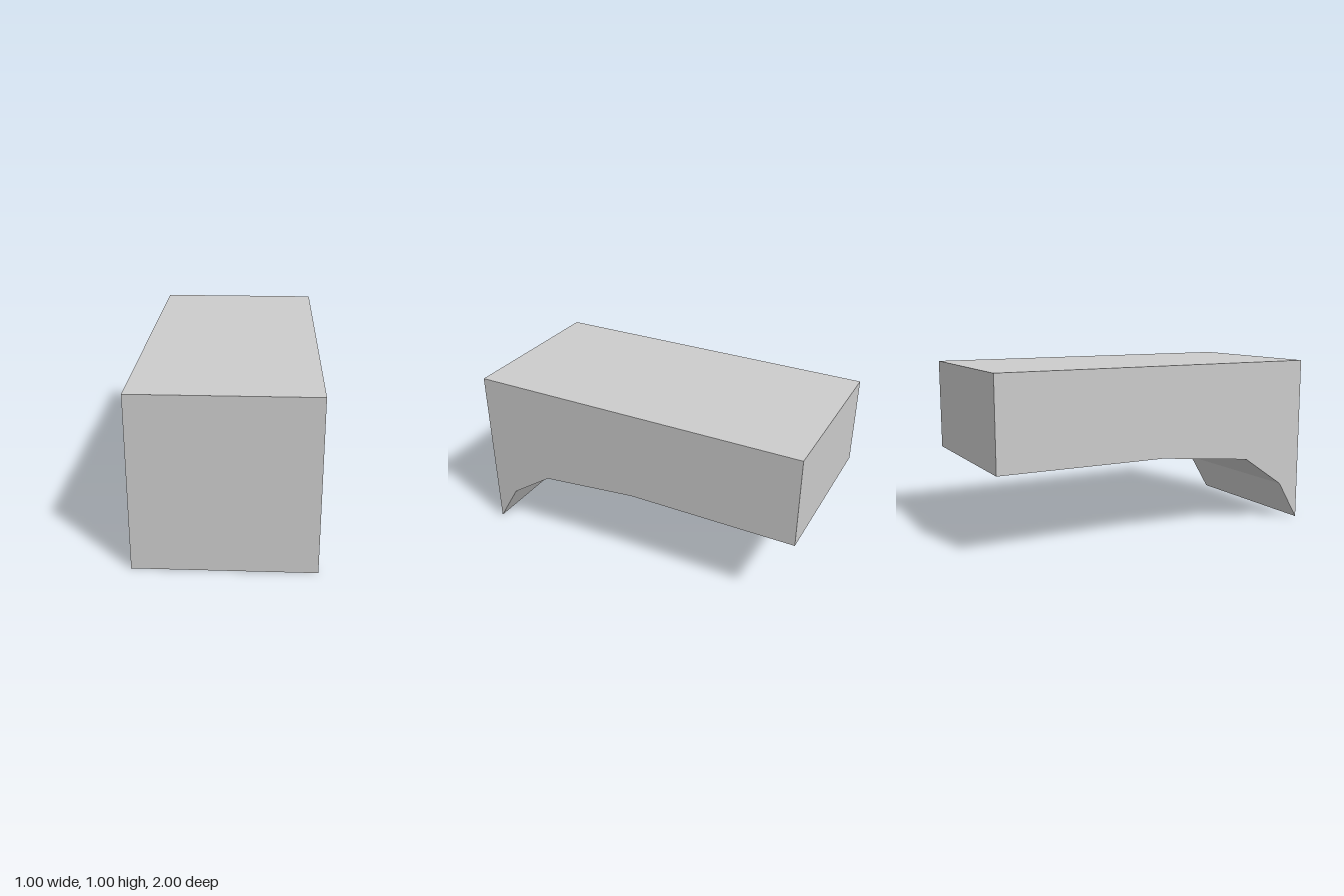
import * as THREE from 'three';

export function createModel() {
  const group = new THREE.Group();
  group.name = 'archedBlock';

  // Side profile as (z, y): flat top, underside curving down to the front edge
  const profile = [
    [1, 1], [-1, 1], [-1, 0.47], [0, 0.47], [0.595, 0.41], [0.862, 0.23], [1, 0],
  ].map(([z, y]) => new THREE.Vector2(z, y));

  // Extrude across the width and turn the profile to run along z
  const geometry = new THREE.ExtrudeGeometry(new THREE.Shape(profile), { depth: 1, bevelEnabled: false });
  geometry.translate(0, 0, -0.5);
  geometry.rotateY(-Math.PI / 2);

  const block = new THREE.Mesh(
    geometry,
    new THREE.MeshStandardMaterial({ color: 0xcccccc, flatShading: true })
  );
  block.name = 'block';
  group.add(block);
  return group;
}
